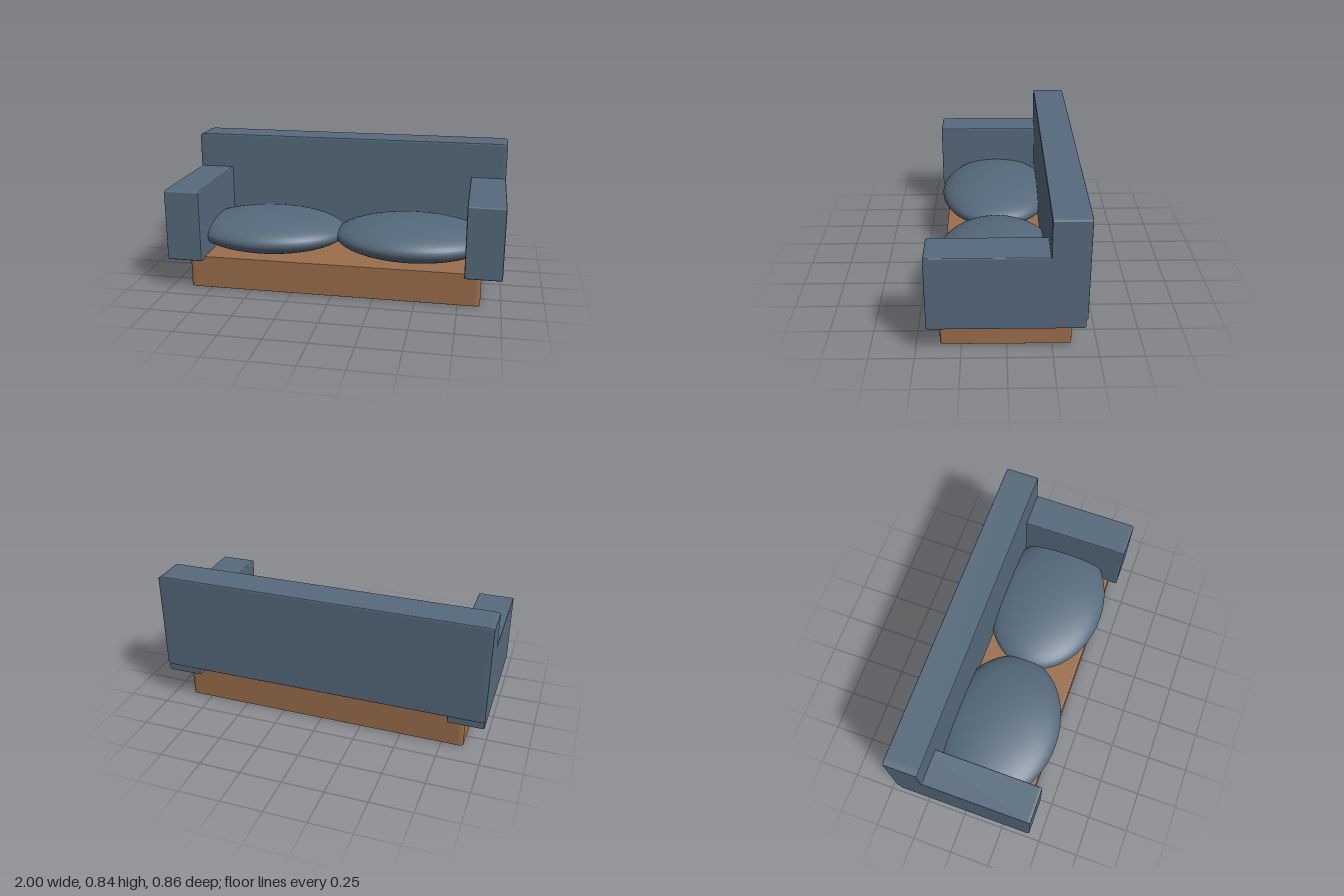
import * as THREE from 'three';
import { RoundedBoxGeometry } from 'three/addons/geometries/RoundedBoxGeometry.js';

export function createModel() {
  const sofa = new THREE.Group();
  sofa.name = 'sofa';
  const fabric = new THREE.MeshStandardMaterial({ name: 'slate blue fabric', color: 0x566a7c });
  const wood = new THREE.MeshStandardMaterial({ name: 'brown wood', color: 0x9b6f4c });

  // A rounded unit cube stretched to each block keeps the bevels in proportion
  const roundedCube = new RoundedBoxGeometry(1, 1, 1, 4, 0.02);
  const addBlock = (name, material, [x0, x1], [y0, y1], [z0, z1]) => {
    const mesh = new THREE.Mesh(roundedCube, material);
    mesh.name = name;
    mesh.scale.set(x1 - x0, y1 - y0, z1 - z0);
    mesh.position.set((x0 + x1) / 2, (y0 + y1) / 2, (z0 + z1) / 2);
    sofa.add(mesh);
  };

  // Plinth and backrest
  addBlock('base', wood, [-0.88, 0.88], [0, 0.203], [-0.36, 0.37]);
  addBlock('backrest', fabric, [-1, 1], [0.237, 0.84], [-0.43, -0.223]);

  // Armrests
  addBlock('leftArmrest', fabric, [0.783, 1], [0.188, 0.622], [-0.42, 0.43]);
  addBlock('rightArmrest', fabric, [-1, -0.783], [0.188, 0.622], [-0.42, 0.43]);

  // Seat cushions: flattened ellipsoids that meet in the middle
  const ball = new THREE.SphereGeometry(1, 48, 32);
  for (const side of [1, -1]) {
    const cushion = new THREE.Mesh(ball, fabric);
    cushion.name = side > 0 ? 'leftCushion' : 'rightCushion';
    cushion.scale.set(0.48, 0.118, 0.36);
    cushion.position.set(side * 0.45, 0.302, 0.05);
    sofa.add(cushion);
  }
  return sofa;
}
